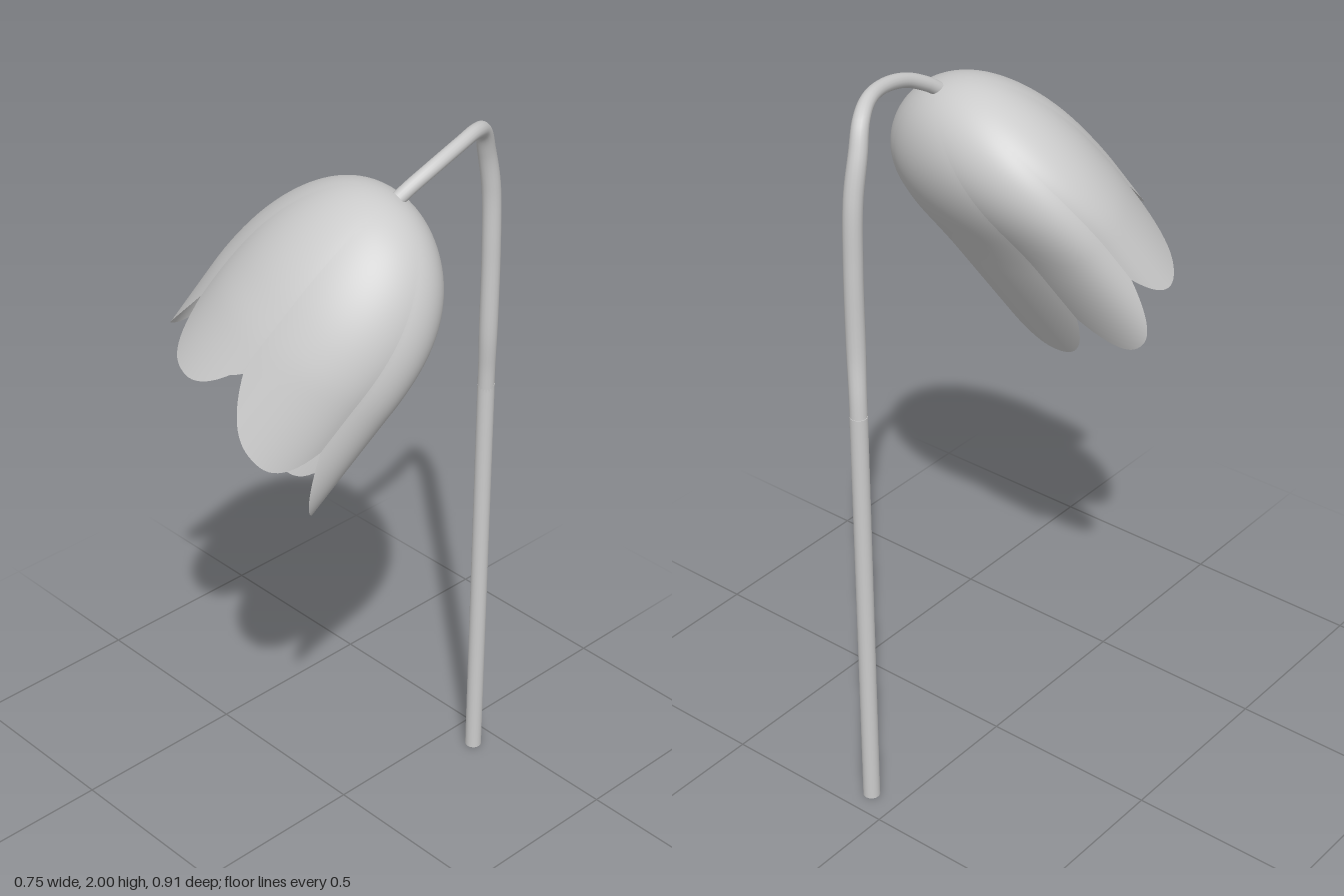
import * as THREE from 'three';

const material = new THREE.MeshStandardMaterial({ color: 0xcccccc, side: THREE.DoubleSide });
const { smoothstep, degToRad } = THREE.MathUtils;

// Bell frame: apex, downward axis, and the wide and flat directions across it
const APEX = new THREE.Vector3(0.165, 1.905, -0.03);
const AXIS = new THREE.Vector3(-0.28, -0.84, 0.46).normalize();
const FLAT = new THREE.Vector3(0, 0.48, 0.877);
FLAT.addScaledVector(AXIS, -FLAT.dot(AXIS)).normalize();
const WIDE = new THREE.Vector3().crossVectors(FLAT, AXIS);
const HALF_WIDE = 0.328, HALF_FLAT = 0.197;
const TWIST = degToRad(8); // turn of the oval section about the axis
const SEAMS = [12, 68, 121, 184, 238, 310, 372]; // angles where petals meet

// Relative radius at distance d below the apex, for a dome of the given depth
const dome = (d, depth, power) => (d < depth ? Math.sqrt(1 - Math.pow(1 - d / depth, power)) : 1);

// Point on the bell: the oval section drifts towards the rim and its ends bend back
function bellPoint(d, angle, bulge) {
  const a = HALF_WIDE * dome(d, 0.42, 2.25) * bulge * Math.cos(angle);
  const b = HALF_FLAT * dome(d, 0.33, 2.4) * bulge * Math.sin(angle);
  const wide = a * Math.cos(TWIST) - b * Math.sin(TWIST);
  const flat = a * Math.sin(TWIST) + b * Math.cos(TWIST);
  return APEX.clone()
    .addScaledVector(AXIS, d)
    .addScaledVector(WIDE, wide - 0.07 * d)
    .addScaledVector(FLAT, flat - 0.42 * wide * wide + 0.026 * smoothstep(d, 0.08, 0.45));
}

// One petal: a curved sheet from the apex to a rounded tip, slightly bulged between its seams
function petalGeometry(start, end) {
  const rows = 36, cols = 24;
  const positions = [], index = [];
  for (let i = 0; i <= rows; i++) {
    for (let j = 0; j <= cols; j++) {
      const s = (2 * j) / cols - 1;
      const angle = start + ((end - start) * j) / cols;
      const rim = 0.703 - 0.08 * Math.sin(angle) + 0.018 * Math.cos(angle);
      const d = (rim - 0.14 * Math.pow(Math.abs(s), 2.4)) * Math.pow(i / rows, 1.7);
      const bulge = 1 + 0.035 * (1 - s * s) * Math.min(1, d / 0.4);
      positions.push(...bellPoint(d, angle, bulge).toArray());
      if (i < rows && j < cols) {
        const a = i * (cols + 1) + j, b = a + cols + 1;
        index.push(a, a + 1, b, a + 1, b + 1, b);
      }
    }
  }
  const geometry = new THREE.BufferGeometry();
  geometry.setAttribute('position', new THREE.Float32BufferAttribute(positions, 3));
  geometry.setIndex(index);
  geometry.computeVertexNormals();
  return geometry;
}

// Tube whose rings are scaled by a radius rule of the path position
function taperedTube(curve, segments, sides, radiusAt) {
  const geometry = new THREE.TubeGeometry(curve, segments, 1, sides);
  const pos = geometry.attributes.position, p = new THREE.Vector3();
  for (let i = 0; i < pos.count; i++) {
    const t = Math.floor(i / (sides + 1)) / segments;
    const centre = curve.getPointAt(t);
    p.fromBufferAttribute(pos, i).sub(centre).multiplyScalar(radiusAt(t)).add(centre);
    pos.setXYZ(i, p.x, p.y, p.z);
  }
  return geometry;
}

export function createModel() {
  const group = new THREE.Group();
  const add = (name, geometry, parent = group) => {
    const mesh = new THREE.Mesh(geometry, material);
    mesh.name = name;
    parent.add(mesh);
    return mesh;
  };

  // Straight lower stem
  add('lowerStem', new THREE.CylinderGeometry(0.023, 0.023, 1.2, 20)).position.set(0.086, 0.6, -0.431);

  // Upper stem, swelling a little and then arching forward to the flower
  const path = new THREE.CatmullRomCurve3([
    [0.086, 1.18, -0.431], [0.089, 1.25, -0.428], [0.097, 1.36, -0.42], [0.099, 1.6, -0.418],
    [0.098, 1.78, -0.411], [0.1, 1.89, -0.387], [0.115, 1.955, -0.357], [0.143, 1.98, -0.3],
    [0.168, 1.98, -0.22], [0.18, 1.958, -0.12], [0.172, 1.925, -0.05], [0.165, 1.905, -0.02],
  ].map((p) => new THREE.Vector3(...p)));
  add('archedStem', taperedTube(path, 90, 16, (t) =>
    0.0225 + 0.002 * smoothstep(t, 0.05, 0.2) - 0.006 * smoothstep(t, 0.55, 0.8)));

  // Hanging bell of six petals
  const flower = new THREE.Group();
  flower.name = 'flower';
  group.add(flower);
  for (let k = 0; k < 6; k++) {
    add('petal', petalGeometry(degToRad(SEAMS[k]), degToRad(SEAMS[k + 1])), flower);
  }
  return group;
}
